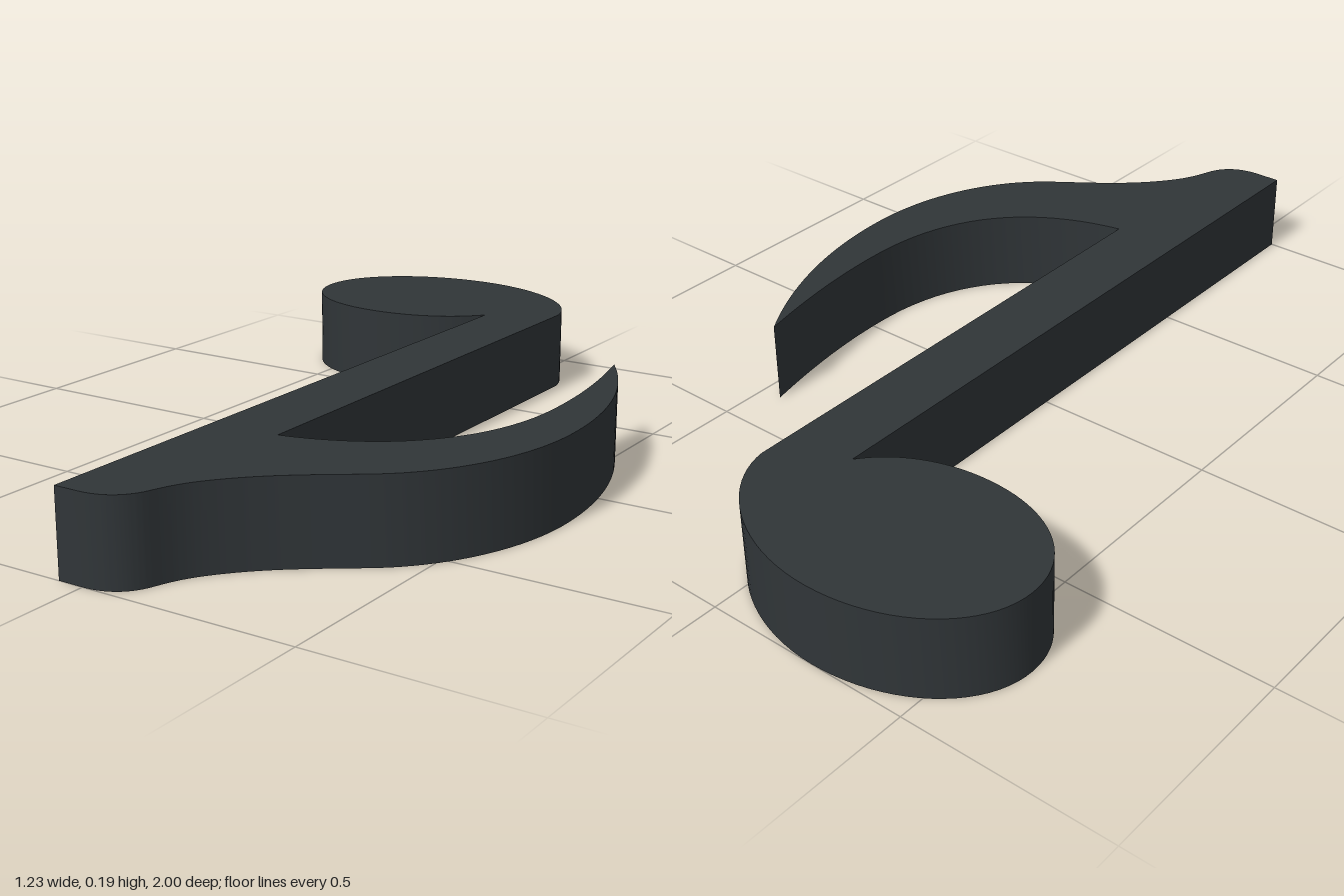
import * as THREE from 'three';
import { toCreasedNormals } from 'three/addons/utils/BufferGeometryUtils.js';

const HEIGHT = 0.195;

export function createModel() {
  const group = new THREE.Group();
  group.name = 'musicNote';

  // Plan outline: shape x is model x, shape y is model z
  const s = new THREE.Shape();
  s.moveTo(-0.06, 1.0);
  s.lineTo(0, 1.0);
  // flag, outer edge from the stem end to the tip
  s.bezierCurveTo(0.06, 1.0, 0.095, 0.97, 0.11, 0.93);
  s.bezierCurveTo(0.13, 0.87, 0.145, 0.84, 0.20, 0.78);
  s.bezierCurveTo(0.26, 0.715, 0.33, 0.67, 0.40, 0.62);
  s.bezierCurveTo(0.53, 0.53, 0.613, 0.36, 0.613, 0.17);
  s.bezierCurveTo(0.613, -0.03, 0.55, -0.22, 0.445, -0.38);
  // flag, inner edge back to the stem
  s.bezierCurveTo(0.48, -0.23, 0.497, -0.1, 0.497, 0.03);
  s.bezierCurveTo(0.497, 0.3, 0.35, 0.465, 0.107, 0.51);
  // stem side
  s.lineTo(0.102, -0.75);
  // oval head
  s.bezierCurveTo(0.085, -0.88, -0.08, -1.0, -0.27, -1.0);
  s.bezierCurveTo(-0.46, -1.0, -0.615, -0.89, -0.615, -0.75);
  s.bezierCurveTo(-0.615, -0.62, -0.49, -0.53, -0.33, -0.53);
  s.bezierCurveTo(-0.22, -0.53, -0.12, -0.57, -0.06, -0.65);
  s.closePath();

  // Extrude, then lay flat on the ground
  let geo = new THREE.ExtrudeGeometry(s, { depth: HEIGHT, bevelEnabled: false, curveSegments: 20 });
  geo.rotateX(Math.PI / 2);
  geo.translate(0, HEIGHT, 0);
  geo = toCreasedNormals(geo, Math.PI / 6);

  const note = new THREE.Mesh(geo, new THREE.MeshStandardMaterial({ color: 0x303538 }));
  note.name = 'noteBody';
  group.add(note);
  return group;
}
